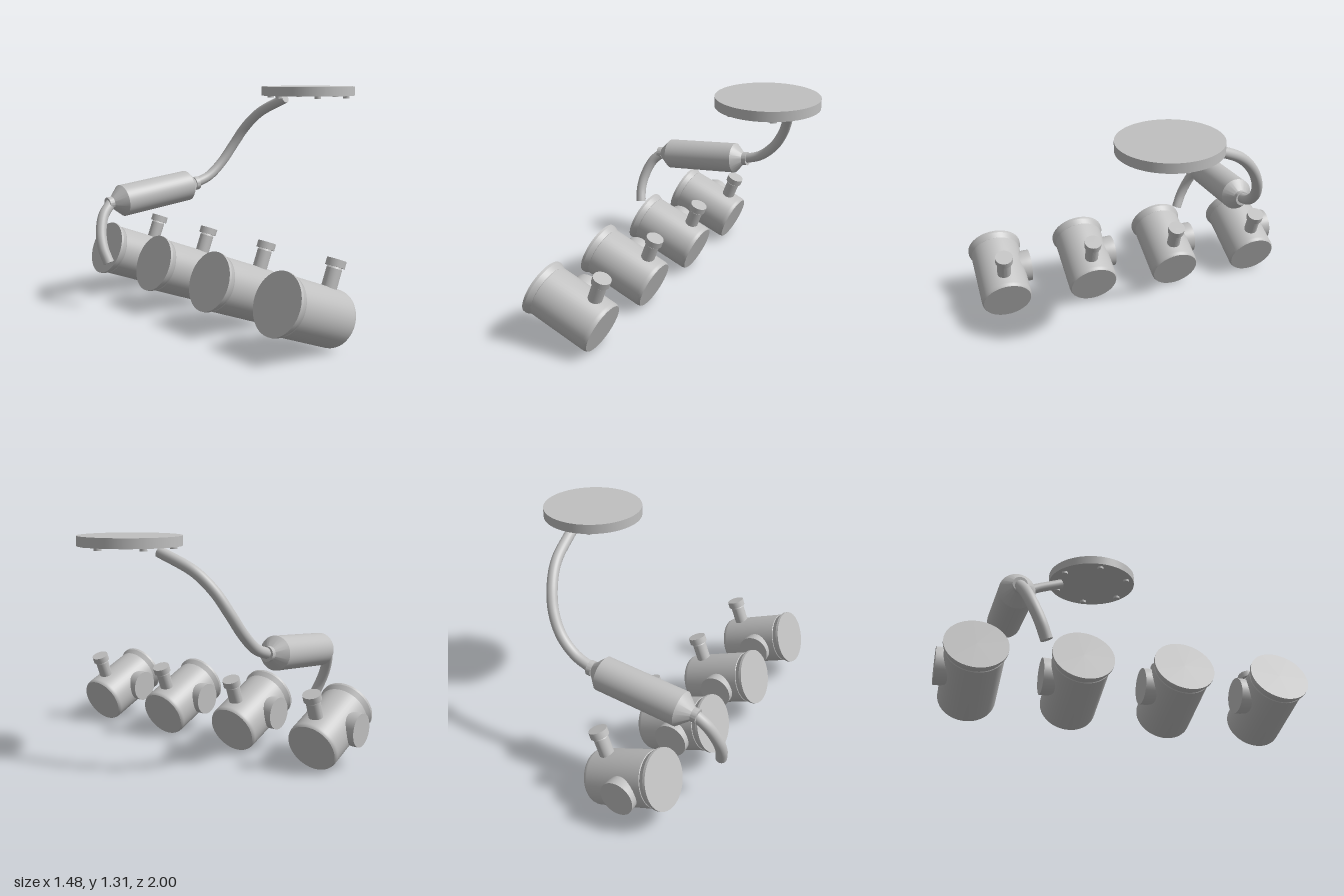
import * as THREE from 'three';
import { toCreasedNormals } from 'three/addons/utils/BufferGeometryUtils.js';

const grey = new THREE.MeshStandardMaterial({ color: 0xc0c0c0 });
grey.name = 'grey metal';

function add(parent, name, geometry, x = 0, y = 0, z = 0) {
  const mesh = new THREE.Mesh(geometry, grey);
  mesh.name = name;
  mesh.position.set(x, y, z);
  parent.add(mesh);
  return mesh;
}

// Solid of revolution from [radius, height] pairs, with crisp edges
function turned(profile, segments = 48) {
  const points = profile.map(([r, h]) => new THREE.Vector2(r, h));
  return toCreasedNormals(new THREE.LatheGeometry(points, segments), 0.3);
}

// Round pipe through a few points, closed at both ends
function pipe(parent, name, coords, radius) {
  const curve = new THREE.CatmullRomCurve3(coords.map((c) => new THREE.Vector3(...c)));
  const group = new THREE.Group();
  group.name = name;
  add(group, name + 'Wall', new THREE.TubeGeometry(curve, 48, radius, 24));
  for (const [t, sign] of [[0, -1], [1, 1]]) {
    const p = curve.getPointAt(t);
    const cap = add(group, name + 'End', new THREE.CircleGeometry(radius, 24), p.x, p.y, p.z);
    const dir = curve.getTangentAt(t).multiplyScalar(sign);
    cap.quaternion.setFromUnitVectors(new THREE.Vector3(0, 0, 1), dir);
  }
  parent.add(group);
}

// Tilted canister with a flared rim, a top nozzle and a rear port
function canister(z) {
  const group = new THREE.Group();
  group.name = 'canister';
  group.position.set(-0.326, 0.216, z);
  group.rotation.z = -0.375;
  const body = add(group, 'canisterBody', turned([
    [0, -0.214], [0.165, -0.214], [0.165, -0.199], [0.15, -0.168], [0.153, -0.165],
    [0.153, 0.188], [0.152, 0.198], [0.149, 0.207], [0.145, 0.213], [0, 0.213],
  ]));
  body.rotation.z = -Math.PI / 2;
  add(group, 'nozzle', turned([
    [0, 0.1], [0.041, 0.1], [0.041, 0.25], [0.036, 0.26], [0.052, 0.26], [0.052, 0.299], [0, 0.299],
  ], 32), 0.11);
  const port = add(group, 'rearPort', turned([
    [0, 0.08], [0.088, 0.08], [0.098, 0.157], [0.098, 0.19], [0, 0.19],
  ]), -0.027);
  port.rotation.x = -Math.PI / 2;
  return group;
}

export function createModel() {
  const model = new THREE.Group();
  model.name = 'pipeworkWithCanisters';

  // Round plate with a ring of six studs beneath
  add(model, 'flangePlate', new THREE.CylinderGeometry(0.288, 0.288, 0.055, 64), 0.45, 1.288, 0.015);
  for (let i = 0; i < 6; i++) {
    const a = (i * Math.PI) / 3;
    add(model, 'flangeStud', new THREE.CylinderGeometry(0.02, 0.02, 0.03, 20),
      0.45 + 0.243 * Math.cos(a), 1.26, 0.015 + 0.243 * Math.sin(a));
  }

  // Curved pipe from the chamber up to the plate
  pipe(model, 'upperPipe', [
    [0.03, 0.677, -0.62], [0.15, 0.722, -0.615], [0.25, 0.81, -0.603], [0.322, 0.925, -0.568],
    [0.37, 1.04, -0.505], [0.41, 1.14, -0.405], [0.45, 1.238, -0.195],
  ], 0.031);

  // Chamber with conical ends and collars, lying along x
  const chamber = add(model, 'chamber', turned([
    [0, -0.343], [0.039, -0.343], [0.039, -0.312], [0.036, -0.312], [0.097, -0.243],
    [0.097, 0.243], [0.036, 0.303], [0.043, 0.303], [0.043, 0.332], [0, 0.332],
  ]), -0.273, 0.646, -0.62);
  chamber.rotation.z = -Math.PI / 2 + 0.105;

  // Short outlet pipe bending down
  pipe(model, 'outletPipe', [
    [-0.59, 0.615, -0.62], [-0.657, 0.548, -0.597], [-0.698, 0.45, -0.56],
    [-0.707, 0.36, -0.522], [-0.692, 0.278, -0.488],
  ], 0.032);

  // Row of four canisters
  for (let i = 0; i < 4; i++) model.add(canister(0.835 - i * 0.548));

  return model;
}
